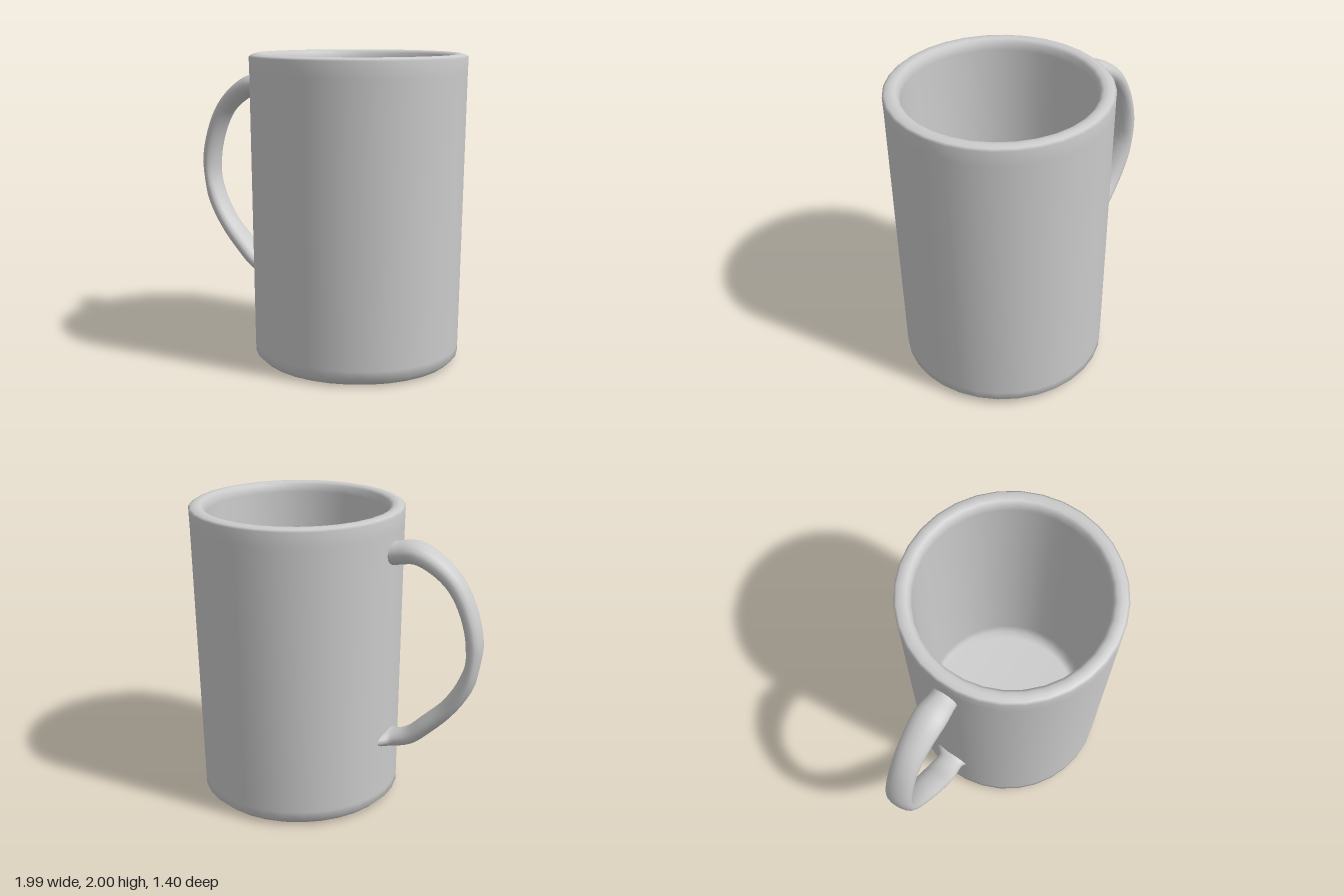
import * as THREE from 'three';

const material = new THREE.MeshStandardMaterial({ color: 0xcccccc, side: THREE.DoubleSide });

// Handle stations: [x, y, half thickness, half width]
const stations = [
  [-0.34, 1.745, 0.078, 0.09],
  [-0.42, 1.755, 0.075, 0.09],
  [-0.55, 1.77, 0.073, 0.105],
  [-0.69, 1.705, 0.066, 0.097],
  [-0.81, 1.595, 0.06, 0.09],
  [-0.9, 1.42, 0.055, 0.09],
  [-0.945, 1.2, 0.054, 0.09],
  [-0.91, 0.98, 0.054, 0.09],
  [-0.8, 0.785, 0.055, 0.09],
  [-0.64, 0.62, 0.058, 0.1],
  [-0.53, 0.525, 0.056, 0.1],
  [-0.42, 0.485, 0.053, 0.09],
  [-0.36, 0.48, 0.054, 0.13],
  [-0.29, 0.478, 0.055, 0.18],
  [-0.235, 0.477, 0.05, 0.16],
  [-0.19, 0.477, 0.03, 0.06],
];

// Lofts elliptical sections along the stations, with closed ends
function handleGeometry(steps = 60, sides = 16) {
  const path = new THREE.CatmullRomCurve3(stations.map(([x, y]) => new THREE.Vector3(x, y, 0)));
  const size = new THREE.CatmullRomCurve3(stations.map(([, , t, w]) => new THREE.Vector3(t, w, 0)));
  const positions = [];
  const indices = [];
  const ring = sides;
  for (let i = 0; i <= steps; i++) {
    const u = i / steps;
    const p = path.getPoint(u);
    const s = size.getPoint(u);
    const tangent = path.getTangent(u);
    const z = -0.075 + 0.095 * (p.x + 0.22); // the handle leans slightly backwards
    for (let j = 0; j < sides; j++) {
      const a = (j / sides) * Math.PI * 2;
      const r = Math.cos(a) * s.x;
      positions.push(p.x - tangent.y * r, p.y + tangent.x * r, z + Math.sin(a) * s.y);
      if (i < steps) {
        const k = (j + 1) % sides;
        const a0 = i * ring + j, a1 = i * ring + k;
        indices.push(a0, a1, a0 + ring, a1, a1 + ring, a0 + ring);
      }
    }
  }
  const last = steps * ring;
  for (let j = 1; j < sides - 1; j++) {
    indices.push(0, j + 1, j, last, last + j, last + j + 1);
  }
  const geometry = new THREE.BufferGeometry();
  geometry.setAttribute('position', new THREE.Float32BufferAttribute(positions, 3));
  geometry.setIndex(indices);
  geometry.computeVertexNormals();
  return geometry;
}

export function createModel() {
  const model = new THREE.Group();
  model.name = 'mug';

  // Hollow body: underside, chamfer, tapered wall, rounded lip, inside wall and floor
  const profile = [
    [0, 0], [0.58, 0], [0.625, 0.003], [0.67, 0.045], [0.672, 0.1],
    [0.697, 1.88], [0.7, 1.98], [0.685, 1.992], [0.655, 2], [0.625, 1.997],
    [0.603, 1.98], [0.595, 1.93], [0.58, 0.2], [0.565, 0.13], [0.52, 0.1], [0, 0.1],
  ].map(([r, y]) => new THREE.Vector2(r, y));
  const body = new THREE.Mesh(new THREE.LatheGeometry(profile, 32), material);
  body.name = 'body';
  body.position.x = 0.29;
  model.add(body);

  const handle = new THREE.Mesh(handleGeometry(), material);
  handle.name = 'handle';
  model.add(handle);

  return model;
}
